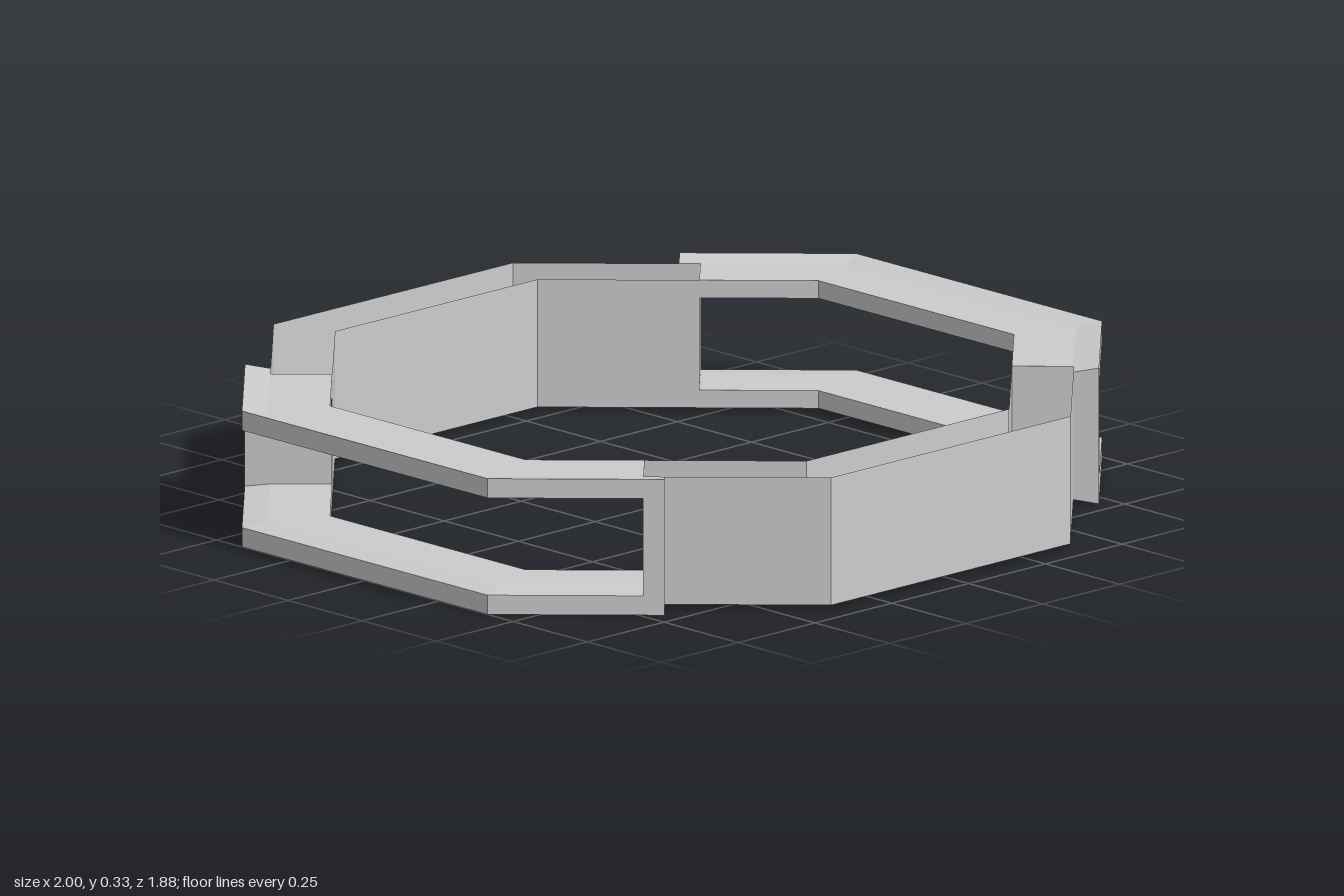
import * as THREE from 'three';

const grey = new THREE.MeshStandardMaterial({ color: 0xcccccc, flatShading: true, side: THREE.DoubleSide });
const OUT = 1, MID = 0.94, INN = 0.795;   // octagon apothems: frame face, ring outside, ring inside
const INSET = 0.05;                       // width of the posts at the ends of each window
const C = Math.SQRT1_2, T = Math.tan(Math.PI / 8);

// Quarter of an octagon facing +x; t shortens (+) or lengthens (-) both diagonal ends
function octPath(a, t) {
  const end = [(a + t) * C, (a - t) * C], corner = [a, a * T];
  return [[end[0], -end[1]], [corner[0], -corner[1]], corner, end];
}

// Sweeps a profile of [apothem, y] points along the quarter octagon
function sweep(profile, t, closed) {
  const pos = [];
  const n = closed ? profile.length : profile.length - 1;
  for (let j = 0; j < n; j++) {
    const [a0, y0] = profile[j], [a1, y1] = profile[(j + 1) % profile.length];
    const p = octPath(a0, t), q = octPath(a1, t);
    for (let i = 0; i < 3; i++) {
      const A = [p[i][0], y0, p[i][1]], B = [p[i + 1][0], y0, p[i + 1][1]];
      const D = [q[i][0], y1, q[i][1]], E = [q[i + 1][0], y1, q[i + 1][1]];
      pos.push(...A, ...B, ...E, ...A, ...E, ...D);
    }
  }
  const g = new THREE.BufferGeometry();
  g.setAttribute('position', new THREE.Float32BufferAttribute(pos, 3));
  g.computeVertexNormals();
  return g;
}

function add(parent, name, geometry) {
  const m = new THREE.Mesh(geometry, grey);
  m.name = name;
  parent.add(m);
  return m;
}

// Windowed side section: two beams joined by a post and a wall at each end
function sideClip(name) {
  const g = new THREE.Group();
  g.name = name;
  const upper = [[OUT, 0.33], [OUT, 0.283], [MID, 0.277], [INN, 0.277], [INN, 0.32], [MID, 0.32]];
  const lower = upper.map(([a, y]) => [a, 0.33 - y]).reverse();
  add(g, 'upperBeam', sweep(upper, INSET, true));
  add(g, 'lowerBeam', sweep(lower, INSET, true));

  const section = new THREE.Shape([[OUT, 0], [OUT, 0.33], [MID, 0.32], [MID, 0.01]]
    .map(([x, y]) => new THREE.Vector2(x, y)));
  const post = new THREE.ExtrudeGeometry(section, { depth: INSET, bevelEnabled: false });
  post.translate(0, 0, -INSET).rotateY(-Math.PI / 4);
  const wall = new THREE.PlaneGeometry(MID - INN, 0.31);
  wall.translate((MID + INN) / 2, 0.165, -INSET).rotateY(-Math.PI / 4);
  for (const s of [1, -1]) {
    add(g, 'endPost', post).scale.z = s;
    add(g, 'endWall', wall).scale.z = s;
  }
  return g;
}

// Plain section: an outer and an inner wall, open above and below
function band(name) {
  const g = new THREE.Group();
  g.name = name;
  add(g, 'outerWall', sweep([[MID, 0.32], [MID, 0.01]], 0, false));
  add(g, 'innerWall', sweep([[INN, 0.01], [INN, 0.32]], -INSET, false));
  return g;
}

export function createModel() {
  const model = new THREE.Group();
  model.name = 'octagonalRing';
  const parts = [sideClip('leftClip'), band('backBand'), sideClip('rightClip'), band('frontBand')];
  parts.forEach((part, i) => {
    part.rotation.y = i * Math.PI / 2;
    model.add(part);
  });
  return model;
}
